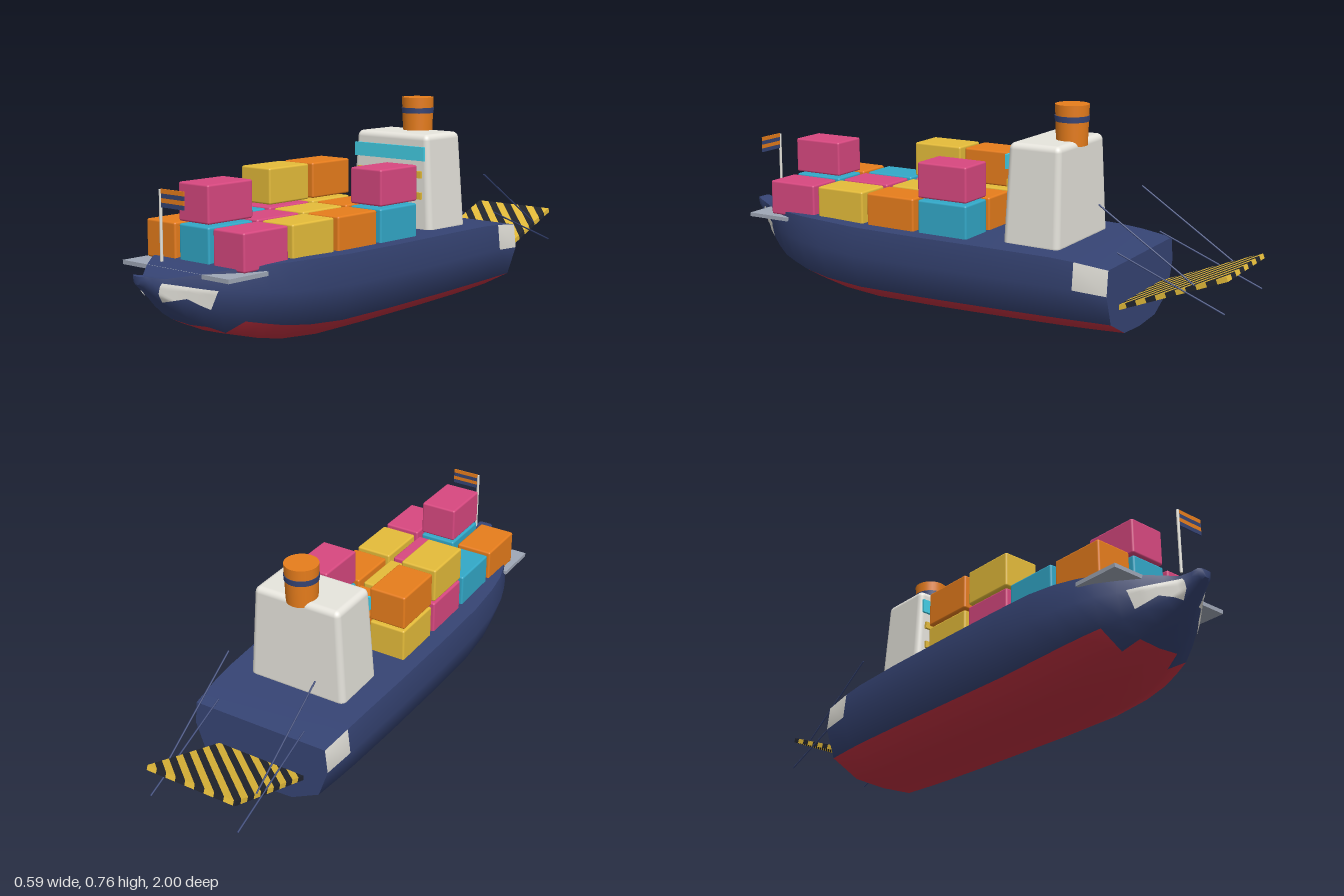
import * as THREE from 'three';
import { toCreasedNormals } from 'three/addons/utils/BufferGeometryUtils.js';
import { RoundedBoxGeometry } from 'three/addons/geometries/RoundedBoxGeometry.js';

const mat = (name, color, side = THREE.FrontSide) => {
  const m = new THREE.MeshStandardMaterial({ color, side });
  m.name = name;
  return m;
};
const M = {
  navy: mat('navy', 0x364474),
  red: mat('red', 0xc03040),
  white: mat('offWhite', 0xf2f0e8, THREE.DoubleSide),
  orange: mat('orange', 0xe77d1c),
  yellow: mat('yellow', 0xe5bc3a),
  pink: mat('pink', 0xd84880),
  teal: mat('teal', 0x32a8c8),
  glass: mat('glassBlue', 0x46d4ec),
  grey: mat('steelGrey', 0x9fa7b6),
  dark: mat('dark', 0x22252e),
};

function add(parent, name, geometry, material, x = 0, y = 0, z = 0) {
  const mesh = new THREE.Mesh(geometry, material);
  mesh.name = name;
  mesh.position.set(x, y, z);
  parent.add(mesh);
  return mesh;
}
const box = (w, h, d) => new THREE.BoxGeometry(w, h, d);

// Hull stations: z, half width, keel height, deck height
const STATIONS = [
  [-0.63, 0.265, 0.022, 0.276], [-0.51, 0.277, 0.017, 0.29], [-0.42, 0.283, 0.014, 0.296],
  [-0.2, 0.291, 0.009, 0.299], [0.1, 0.296, 0.004, 0.3], [0.35, 0.296, 0.003, 0.302],
  [0.5, 0.287, 0.015, 0.307], [0.6, 0.27, 0.033, 0.307], [0.67, 0.247, 0.053, 0.306],
  [0.73, 0.222, 0.072, 0.303], [0.79, 0.181, 0.1, 0.297], [0.85, 0.133, 0.135, 0.288],
  [0.9, 0.085, 0.172, 0.281], [0.935, 0.052, 0.203, 0.276], [0.97, 0.036, 0.235, 0.283],
  [0.99, 0.029, 0.253, 0.29], [1.0, 0.018, 0.262, 0.288],
];
// Half section as fractions of width and height, from keel to deck edge
const SECTION = [[0, 0], [0.46, 0.03], [0.865, 0.25], [1, 0.66], [0.965, 1]];

function hullGeometry() {
  const faces = { navy: [], red: [], white: [] };
  const rings = STATIONS.map(([z, w, k, d]) => {
    const half = SECTION.map(([a, b]) => [a * w, k + b * (d - k), z]);
    return [...half, ...half.slice(1).reverse().map(([x, y, c]) => [-x, y, c])];
  });
  const n = rings[0].length;
  const quad = (list, a, b, c, d) => list.push(...a, ...b, ...c, ...a, ...c, ...d);
  for (let i = 0; i < rings.length - 1; i++) {
    for (let j = 0; j < n; j++) {
      // The red paint reaches one station further along the keel than on the bilge
      const strip = Math.min(j, n - 1 - j);
      const redEnd = [0.79, 0.73][strip] ?? -1;
      const upper = j === 3 || j === 5;
      const key = STATIONS[i][0] < redEnd ? 'red' : upper && i === 0 ? 'white' : 'navy';
      const k = (j + 1) % n;
      quad(faces[key], rings[i][j], rings[i][k], rings[i + 1][k], rings[i + 1][j]);
    }
  }
  // Transom and stem caps
  const first = rings[0], last = rings[rings.length - 1];
  for (let j = 1; j < n - 1; j++) {
    faces.navy.push(...first[0], ...first[j + 1], ...first[j]);
    faces.navy.push(...last[0], ...last[j], ...last[j + 1]);
  }
  const g = new THREE.BufferGeometry();
  let start = 0;
  Object.values(faces).forEach((f, i) => {
    g.addGroup(start, f.length / 3, i);
    start += f.length / 3;
  });
  g.setAttribute('position', new THREE.Float32BufferAttribute(Object.values(faces).flat(), 3));
  return toCreasedNormals(g, 0.8);
}

// Thin patch laid on the bow: a quad in x, y dropped onto the hull along z
function bowPatch(hull, corners) {
  const N = 8, ray = new THREE.Raycaster(), pos = [], idx = [];
  const mix = (a, b, t) => [a[0] + (b[0] - a[0]) * t, a[1] + (b[1] - a[1]) * t];
  for (let i = 0; i <= N; i++) for (let j = 0; j <= N; j++) {
    const [x, y] = mix(mix(corners[0], corners[1], i / N), mix(corners[3], corners[2], i / N), j / N);
    ray.set(new THREE.Vector3(x, y, 3), new THREE.Vector3(0, 0, -1));
    const hit = ray.intersectObject(hull)[0];
    pos.push(x, y, (hit ? hit.point.z : 0.88) + 0.007);
    if (i < N && j < N) {
      const a = i * (N + 1) + j, b = a + N + 1;
      idx.push(a, a + 1, b, b, a + 1, b + 1);
    }
  }
  if (corners[0][0] > 0) idx.reverse();
  const g = new THREE.BufferGeometry();
  g.setAttribute('position', new THREE.Float32BufferAttribute(pos, 3));
  g.setIndex(idx);
  g.computeVertexNormals();
  return g;
}

// Keeps the part of a polygon where s * (x - y - c) >= 0
function clip(poly, c, s) {
  const out = [];
  poly.forEach((p, i) => {
    const q = poly[(i + 1) % poly.length];
    const dp = s * (p.x - p.y - c), dq = s * (q.x - q.y - c);
    if (dp >= 0) out.push(p);
    if (dp * dq < 0) out.push(p.clone().lerp(q, dp / (dp - dq)));
  });
  return out;
}

function rod(parent, name, a, b, r, material) {
  const from = new THREE.Vector3(...a), dir = new THREE.Vector3(...b).sub(from);
  const mesh = add(parent, name, new THREE.CylinderGeometry(r, r, dir.length(), 8), material);
  mesh.position.copy(from).addScaledVector(dir, 0.5);
  mesh.quaternion.setFromUnitVectors(new THREE.Vector3(0, 1, 0), dir.normalize());
}

export function createModel() {
  const ship = new THREE.Group();
  ship.name = 'containerShip';

  // Hull with painted bow patches
  const hull = add(ship, 'hull', hullGeometry(), [M.navy, M.red, M.white]);
  hull.updateMatrixWorld(true);
  const patches = [
    [[0.165, 0.236], [0.105, 0.251], [0.097, 0.213], [0.14, 0.175]],
    [[0.105, 0.251], [0.05, 0.264], [0.034, 0.2], [0.097, 0.213]],
  ];
  for (const s of [1, -1]) for (const p of patches)
    add(ship, 'bowPatch', bowPatch(hull, p.map(([x, y]) => [x * s, y])), M.white);

  // Bow platform
  add(ship, 'bowPlatform', box(0.492, 0.014, 0.17), M.grey, 0, 0.281, 0.767);

  // Containers: rows from bow to stern, columns from -x to +x, layers bottom up
  const cargo = new THREE.Group();
  cargo.name = 'cargo';
  ship.add(cargo);
  const crate = new RoundedBoxGeometry(0.138, 0.126, 0.196, 2, 0.007);
  const rows = [
    [['orange'], ['teal', 'pink'], ['pink']],
    [['teal'], ['pink'], ['yellow']],
    [['pink', 'yellow'], ['yellow'], ['orange']],
    [['yellow', 'orange'], ['orange'], ['teal', 'pink']],
  ];
  rows.forEach((row, r) => row.forEach((stack, c) => stack.forEach((color, l) =>
    add(cargo, 'container', crate, M[color], (c - 1) * 0.157, 0.353 + l * 0.134, 0.668 - r * 0.216))));

  // Bridge house, narrowing towards the roof
  const house = new RoundedBoxGeometry(0.38, 0.36, 0.215, 3, 0.022);
  const p = house.attributes.position;
  for (let i = 0; i < p.count; i++) {
    const t = (p.getY(i) + 0.18) / 0.36;
    p.setX(i, p.getX(i) * (1 - 0.13 * t));
    p.setZ(i, p.getZ(i) * (1 - 0.09 * t));
  }
  add(ship, 'bridgeHouse', house, M.white, 0, 0.46, -0.305);
  add(ship, 'bridgeWindow', box(0.324, 0.05, 0.009), M.glass, 0, 0.572, -0.198);
  for (const y of [0.497, 0.42])
    add(ship, 'bridgeStripe', box(0.3, 0.025, 0.009), M.yellow, 0, y, -0.197);

  // Funnel with band
  add(ship, 'funnel', new THREE.CylinderGeometry(0.059, 0.054, 0.14, 32), M.orange, 0, 0.691, -0.362);
  add(ship, 'funnelBand', new THREE.CylinderGeometry(0.06, 0.059, 0.02, 32), M.navy, 0, 0.713, -0.362);

  // Flag on the bow
  rod(ship, 'flagPole', [0, 0.32, 0.9], [0, 0.545, 0.9], 0.005, M.white);
  for (let i = 0; i < 4; i++)
    add(ship, 'flagStripe', box(0.104, 0.0143, 0.004), i % 2 ? M.navy : M.orange, 0.055, 0.54 - i * 0.0143, 0.9);

  // Stern ramp with diagonal stripes
  const ramp = new THREE.Group();
  ramp.name = 'sternRamp';
  ramp.position.set(0, 0.205, -0.813);
  ramp.rotation.x = Math.atan2(0.37, -0.15);
  ship.add(ramp);
  const plate = [[-0.17, -0.2], [0.17, -0.2], [0.17, 0.2], [-0.17, 0.2]].map(c => new THREE.Vector2(...c));
  const band = 0.037;
  for (let i = -11; i < 11; i++) {
    const piece = clip(clip(plate, i * band, 1), (i + 1) * band, -1);
    if (piece.length < 3) continue;
    const g = new THREE.ExtrudeGeometry(new THREE.Shape(piece), { depth: 0.017, bevelEnabled: false });
    add(ramp, 'rampStripe', g, i % 2 ? M.yellow : M.dark, 0, 0, -0.0085);
  }

  // Ramp rods on both sides
  for (const x of [0.17, -0.17]) {
    rod(ship, 'rampRod', [x, 0.467, -0.55], [x, 0.244, -0.89], 0.003, M.navy);
    rod(ship, 'rampRod', [x, 0.314, -0.62], [x, 0.164, -0.995], 0.003, M.navy);
  }
  return ship;
}
